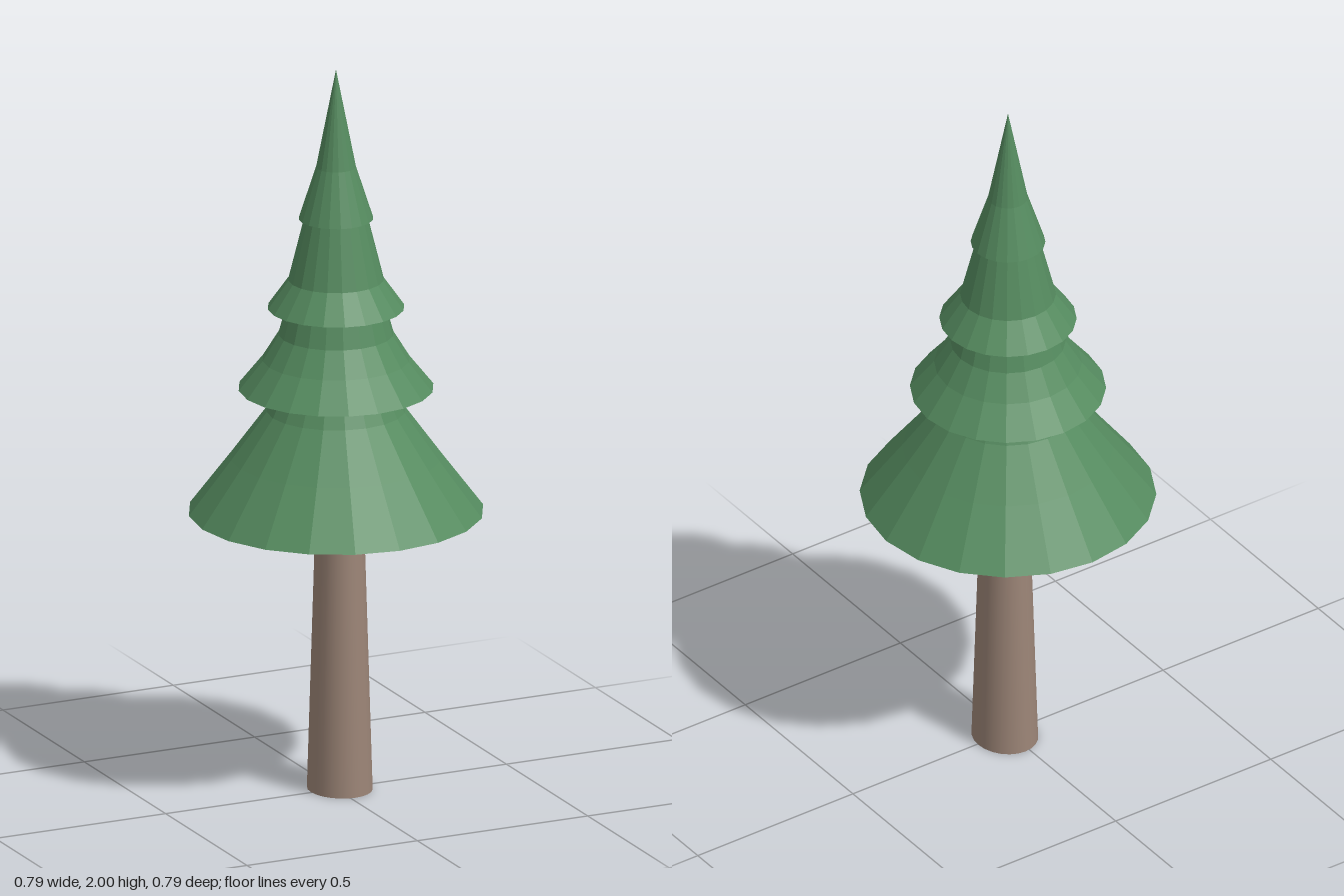
import * as THREE from 'three';

export function createModel() {
  const tree = new THREE.Group();
  tree.name = 'pineTree';

  // Foliage: four stacked skirts with flat undersides, turned as one faceted profile
  const tiers = [
    [[0.393, 0.775], [0.28, 0.925], [0.185, 1.055], [0.155, 1.117]],
    [[0.26, 1.117], [0.196, 1.197], [0.153, 1.267], [0.133, 1.34]],
    [[0.182, 1.34], [0.127, 1.418], [0.085, 1.587]],
    [[0.099, 1.587], [0.053, 1.73], [0, 2]],
  ];
  const profile = [[0, 0.775], ...tiers.flat()].map(([r, y]) => new THREE.Vector2(r, y));
  const foliage = new THREE.Mesh(
    new THREE.LatheGeometry(profile, 20),
    new THREE.MeshStandardMaterial({ color: 0x558b5f, flatShading: true })
  );
  foliage.name = 'foliage';
  tree.add(foliage);

  // Trunk: tapered, slightly oval and a little off centre
  const height = 0.78;
  const trunk = new THREE.Mesh(
    new THREE.CylinderGeometry(0.062, 0.085, height, 24),
    new THREE.MeshStandardMaterial({ color: 0x9c8577 })
  );
  trunk.name = 'trunk';
  trunk.scale.z = 1.13;
  trunk.position.set(0.013, height / 2, -0.004);
  tree.add(trunk);

  return tree;
}
